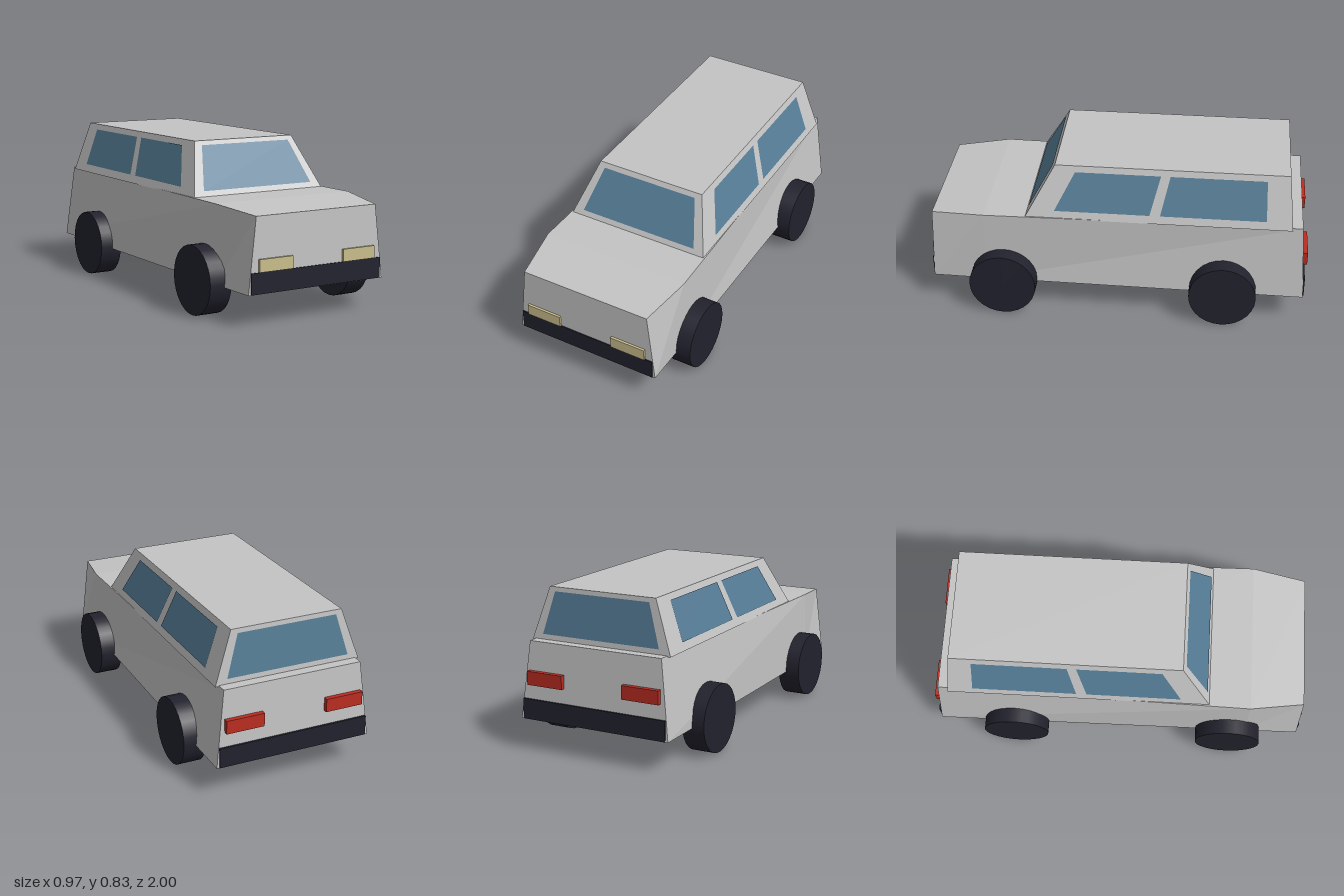
import * as THREE from 'three';

const mat = (name, color) => Object.assign(new THREE.MeshStandardMaterial({ color }), { name });

// Flat-shaded geometry from quads, each with corners counter-clockwise from outside
function quads(list) {
  const pos = [];
  for (const [a, b, c, d] of list) pos.push(...a, ...b, ...c, ...a, ...c, ...d);
  const g = new THREE.BufferGeometry();
  g.setAttribute('position', new THREE.Float32BufferAttribute(pos, 3));
  g.computeVertexNormals();
  return g;
}

// Closed hull from trapezoid sections, front to back: bottom and top [half width, y, z]
function hull(sections) {
  const rings = sections.map(([[wb, yb, zb], [wt, yt, zt]]) =>
    [[wb, yb, zb], [wt, yt, zt], [-wt, yt, zt], [-wb, yb, zb]]);
  const list = [rings[0], [...rings[rings.length - 1]].reverse()];
  for (let s = 0; s < rings.length - 1; s++) {
    const A = rings[s], B = rings[s + 1];
    for (let i = 0; i < 4; i++) {
      const j = (i + 1) % 4;
      list.push([A[i], B[i], B[j], A[j]]);
    }
  }
  return quads(list);
}

export function createModel() {
  const paint = mat('bodyPaint', 0xc4c4c4);
  const glass = mat('glass', 0x567d96);
  const dark = mat('darkRubber', 0x22222e);
  const red = mat('tailLightRed', 0xbb2c22);
  const cream = mat('headlightCream', 0xcabe8c);

  const car = new THREE.Group();
  car.name = 'car';
  const add = (name, geometry, material, x = 0, y = 0, z = 0) => {
    const m = new THREE.Mesh(geometry, material);
    m.name = name;
    m.position.set(x, y, z);
    car.add(m);
    return m;
  };

  // Lower body: nose, bonnet break, tail
  add('lowerBody', hull([
    [[0.4, 0.163, 0.99], [0.355, 0.54, 0.985]],
    [[0.405, 0.163, 0.7], [0.403, 0.565, 0.7]],
    [[0.42, 0.163, -0.99], [0.373, 0.565, -0.965]],
  ]), paint);

  // Cabin tapering to the roof
  const base = 0.56, roof = 0.832;
  add('cabin', hull([
    [[0.393, base, 0.483], [0.3, roof, 0.328]],
    [[0.393, base, -0.912], [0.3, roof, -0.885]],
  ]), paint);

  // Points on the sloping cabin faces, lifted just clear of them
  const lift = 0.004;
  const slope = (y, a, b) => a + (b - a) * (y - base) / (roof - base);
  const front = (x, y) => [x, y, slope(y, 0.483, 0.328) + lift];
  const back = (x, y) => [x, y, slope(y, -0.912, -0.885) - lift];
  const side = (s, y, z) => [s * (slope(y, 0.393, 0.3) + lift), y, z];

  // Windscreen and rear window
  add('windscreen', quads([
    [front(-0.33, 0.592), front(0.33, 0.592), front(0.267, 0.81), front(-0.267, 0.81)],
  ]), glass);
  add('rearWindow', quads([
    [back(0.33, 0.592), back(-0.33, 0.592), back(-0.267, 0.81), back(0.267, 0.81)],
  ]), glass);

  // Side windows: bottom front, bottom back, top back, top front z
  const openings = {
    frontSideWindow: [0.328, -0.17, -0.223, 0.222],
    rearSideWindow: [-0.225, -0.775, -0.768, -0.272],
  };
  for (const s of [1, -1]) {
    const hand = s > 0 ? 'Left' : 'Right';
    for (const [name, [bf, bb, tb, tf]] of Object.entries(openings)) {
      const q = [side(s, 0.602, bf), side(s, 0.602, bb), side(s, 0.802, tb), side(s, 0.802, tf)];
      add(name + hand, quads([s > 0 ? q : q.reverse()]), glass);
    }

    // Lamps
    add('headlight' + hand, new THREE.BoxGeometry(0.193, 0.063, 0.03), cream, s * 0.247, 0.302, 0.985);
    add('tailLight' + hand, new THREE.BoxGeometry(0.203, 0.07, 0.03), red, s * 0.272, 0.38, -0.985);

    // Wheels
    for (const [end, z] of [['front', 0.605], ['rear', -0.565]]) {
      const wheel = new THREE.CylinderGeometry(0.177, 0.177, 0.12, 28).rotateZ(Math.PI / 2);
      add(end + 'Wheel' + hand, wheel, dark, s * 0.423, 0.177, z);
    }
  }

  // Bumper bands
  add('frontBumper', new THREE.BoxGeometry(0.77, 0.105, 0.02), dark, 0, 0.217, 0.984);
  add('rearBumper', new THREE.BoxGeometry(0.81, 0.105, 0.02), dark, 0, 0.217, -0.984);

  return car;
}
